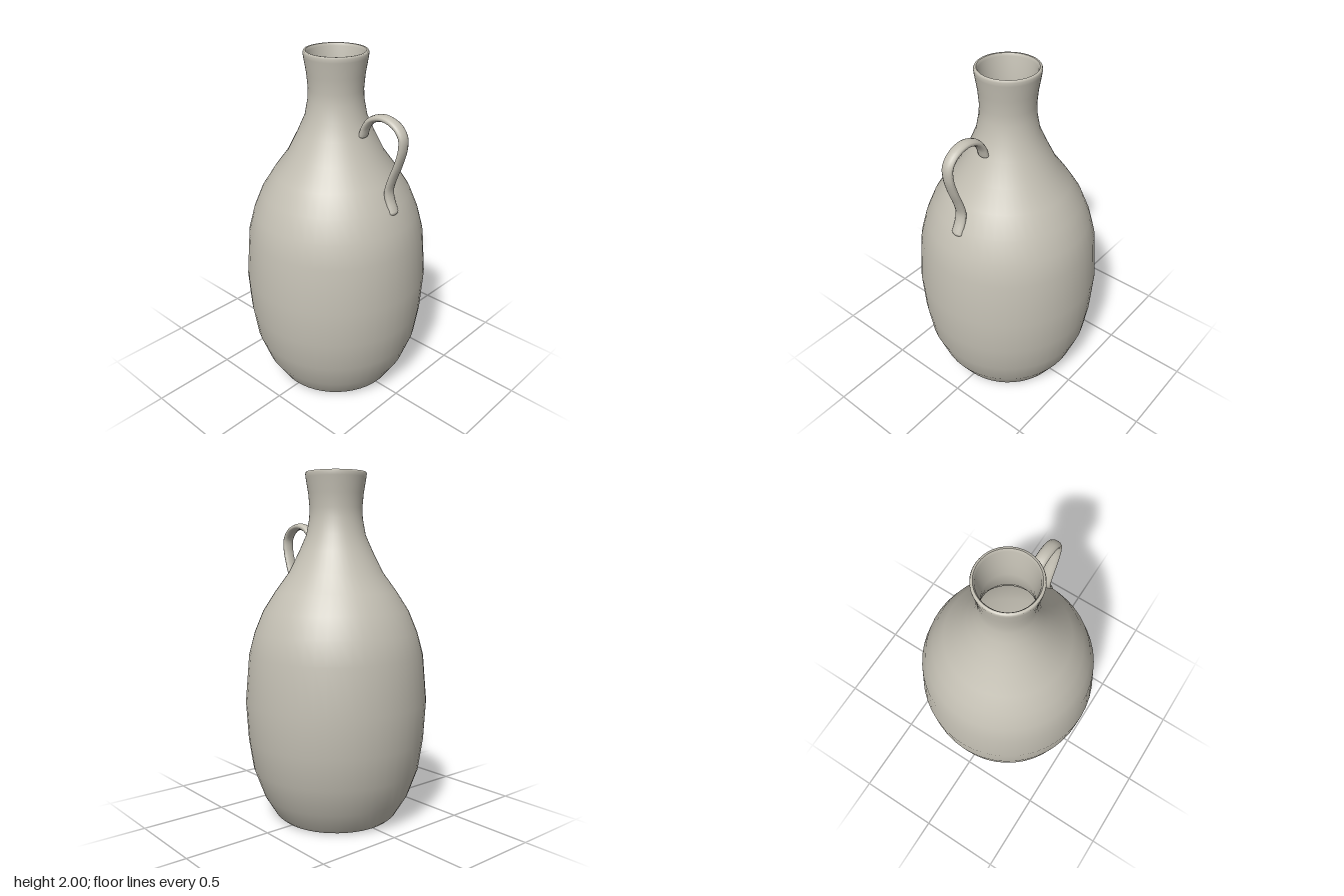
import * as THREE from 'three';

const vec2 = (pairs) => pairs.map(([r, y]) => new THREE.Vector2(r, y));

export function createModel() {
  const clay = new THREE.MeshStandardMaterial({ color: 0xc4c0b4 });
  clay.name = 'grey clay';
  const jug = new THREE.Group();
  jug.name = 'jug';
  const add = (name, geometry, parent = jug) => {
    const mesh = new THREE.Mesh(geometry, clay);
    mesh.name = name;
    parent.add(mesh);
    return mesh;
  };

  // Outer wall: recessed foot, belly, shoulder, neck and flared lip
  const outer = vec2([
    [0, 0.02], [0.26, 0.02], [0.275, 0.018], [0.29, 0.004], [0.31, 0], [0.335, 0.004],
    [0.36, 0.025], [0.43, 0.14], [0.488, 0.3], [0.515, 0.48], [0.528, 0.7],
    [0.505, 0.97], [0.47, 1.1], [0.42, 1.22], [0.35, 1.33], [0.27, 1.44],
    [0.21, 1.56], [0.17, 1.65], [0.153, 1.74], [0.15, 1.8], [0.157, 1.88],
    [0.172, 1.97], [0.174, 1.99], [0.17, 2], [0.16, 2],
  ]);
  add('body', new THREE.LatheGeometry(outer, 48));

  // Hollow inside, from the lip down to the floor
  const inner = vec2([
    [0.16, 2], [0.152, 1.985], [0.138, 1.88], [0.13, 1.8], [0.133, 1.74],
    [0.15, 1.65], [0.19, 1.55], [0.25, 1.43], [0.33, 1.32], [0.4, 1.21],
    [0.485, 0.97], [0.508, 0.7], [0.47, 0.3], [0.41, 0.14], [0.34, 0.05],
    [0.3, 0.04], [0, 0.04],
  ]);
  add('inside', new THREE.LatheGeometry(inner, 48));

  // Strap handle: a round tube widened along z, with rounded ends
  const handle = new THREE.Group();
  handle.name = 'handle';
  jug.add(handle);
  const path = new THREE.CatmullRomCurve3([
    [0.2, 1.585], [0.218, 1.635], [0.26, 1.682], [0.335, 1.706], [0.415, 1.685],
    [0.46, 1.635], [0.464, 1.57], [0.44, 1.48], [0.405, 1.39], [0.386, 1.32],
    [0.393, 1.27], [0.421, 1.205],
  ].map(([x, y]) => new THREE.Vector3(x, y, 0)));
  const radius = 0.019, widen = 1.8;
  add('strap', new THREE.TubeGeometry(path, 48, radius, 12).scale(1, 1, widen), handle);
  for (const [name, t] of [['upperEnd', 0], ['lowerEnd', 1]]) {
    const end = add(name, new THREE.SphereGeometry(radius, 14, 10).scale(1, 1, widen), handle);
    end.position.copy(path.getPoint(t));
  }
  return jug;
}
